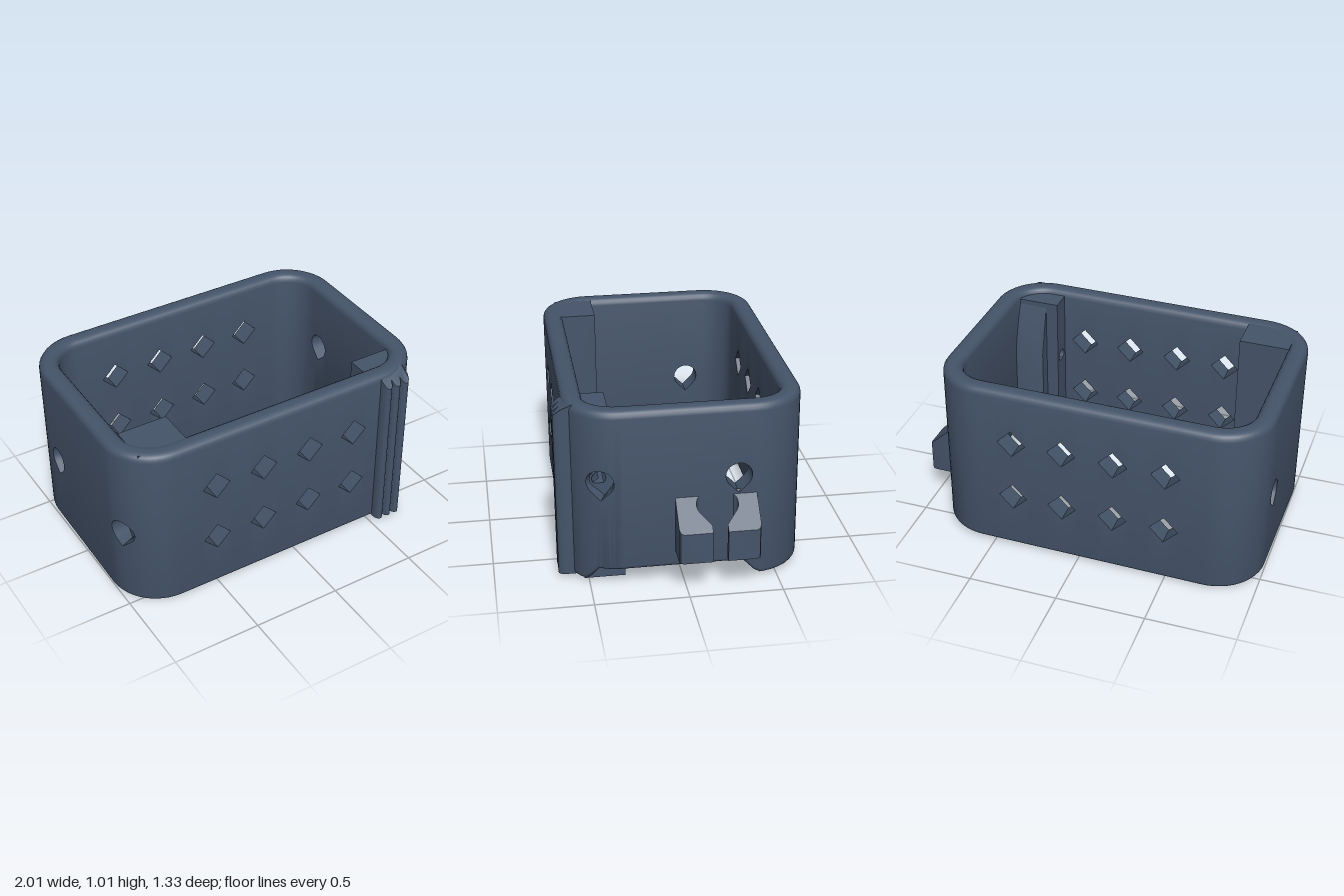
import * as THREE from 'three';
import { toCreasedNormals } from 'three/addons/utils/BufferGeometryUtils.js';

const slate = new THREE.MeshStandardMaterial({ color: 0x45546a });
slate.name = 'slate blue';

// Wall dimensions: a core rectangle swept by an outer and an inner corner radius
const X0 = -0.72, X1 = 0.57, Z0 = -0.38, Z1 = 0.32, RO = 0.28, RI = 0.17, H = 0.99;

// Hole outlines: lower and upper edge at horizontal distance d from the centre
const diamond = (u, y, r = 0.08) => ({ u, y, r, lo: d => y - Math.max(0, r - d), hi: d => y + Math.max(0, r - d) });
const tear = (u, y, r = 0.07) => {
  const arc = d => Math.sqrt(Math.max(0, r * r - d * d));
  return { u, y, r, hi: d => y + arc(d), lo: d => y - (d < r * Math.SQRT1_2 ? r * Math.SQRT2 - d : arc(d)) };
};
const diamondX = [-0.495, -0.205, 0.085, 0.37];
const vents = diamondX.flatMap(x => [diamond(x, 0.325), diamond(x, 0.675)]);
const holes = {
  front: vents, back: vents,
  right: [tear(0.43, 0.59), tear(-0.29, 0.595)],
  left: [tear(0.43, 0.45), tear(-0.29, 0.45)],
};
const sideOf = a => {
  const nx = Math.sin(a), nz = Math.cos(a);
  return Math.abs(nx) > Math.abs(nz) ? (nx > 0 ? 'right' : 'left') : (nz > 0 ? 'front' : 'back');
};

// Columns around the perimeter, counter-clockwise from the front left
function makeColumns() {
  const cols = [];
  const add = (a, x, z) => cols.push({ a, x, z });
  const xs = [X0, X1, ...diamondX.flatMap(x => [x - 0.08, x, x + 0.08])].sort((p, q) => p - q);
  const steps = Array.from({ length: 13 }, (_, i) => 0.07 * Math.cos(i * Math.PI / 12));
  const flatZ = [Z0, Z1, -0.32, ...steps.map(d => -0.29 + d)].sort((p, q) => p - q);
  const drilled = steps.map(d => Math.acos((0.43 + d - Z1) / RO));
  const corner = (from, x, z, extra = []) => {
    const even = Array.from({ length: 11 }, (_, i) => from + (i + 1) * Math.PI / 24);
    [...even, ...extra].sort((p, q) => p - q).forEach(a => add(a, x, z));
  };
  xs.forEach(x => add(0, x, Z1));
  corner(0, X1, Z1, [...drilled, Math.acos((0.45 - Z1) / RO)]);
  [...flatZ].reverse().forEach(z => add(Math.PI / 2, X1, z));
  corner(Math.PI / 2, X1, Z0);
  [...xs].reverse().forEach(x => add(Math.PI, x, Z0));
  corner(Math.PI, X0, Z0);
  flatZ.forEach(z => add(1.5 * Math.PI, X0, z));
  corner(1.5 * Math.PI, X0, Z1, drilled.map(a => 2 * Math.PI - a));
  return cols;
}

// Hollow rounded wall with filleted rims, drilled holes and a notch under the right side
function wallGeometry() {
  const pos = [];
  const quad = (a, b, c, d) => pos.push(...a, ...b, ...c, ...a, ...c, ...d);
  const at = (c, r, y) => [c.x + Math.sin(c.a) * r, y, c.z + Math.cos(c.a) * r];
  const floor = c => {
    const [x, , z] = at(c, RO, 0);
    return x < 0.6 ? 0 : 0.085 * Math.max(0, Math.min(1, (0.52 - z) / 0.07, (z + 0.4) / 0.08));
  };
  const arc = (r, y, f, from) => Array.from({ length: 5 }, (_, i) => {
    const t = from + i * Math.PI / 8;
    return [r + f * Math.cos(t), y + f * Math.sin(t)];
  });
  const F = 0.04, B = 0.025;
  const top = [...arc(RO - F, H - F, F, 0), ...arc(RI + F, H - F, F, Math.PI / 2)];
  const bottom = [...arc(RI + B, B, B, Math.PI), ...arc(RO - B, B, B, 1.5 * Math.PI)];
  const cols = makeColumns();
  cols.forEach((p, i) => {
    const q = cols[(i + 1) % cols.length];
    const side = sideOf((p.a + (q.a < p.a ? q.a + 2 * Math.PI : q.a)) / 2);
    const axis = side === 'front' || side === 'back' ? 0 : 2;
    const up = at(p, RO, 0)[axis], uq = at(q, RO, 0)[axis];
    const active = holes[side].filter(h => Math.abs((up + uq) / 2 - h.u) < h.r - 1e-6);
    const edges = (c, u) => [B + floor(c), ...active.flatMap(h => {
      const d = Math.abs(u - h.u);
      return [h.lo(d), h.hi(d)];
    }), H - F];
    const yp = edges(p, up), yq = edges(q, uq);
    for (let k = 0; k < yp.length - 1; k++) {
      const n = k + 1;
      if (k % 2 === 0) {
        quad(at(p, RO, yp[k]), at(q, RO, yq[k]), at(q, RO, yq[n]), at(p, RO, yp[n]));
        quad(at(p, RI, yp[n]), at(q, RI, yq[n]), at(q, RI, yq[k]), at(p, RI, yp[k]));
      } else {
        quad(at(p, RO, yp[k]), at(q, RO, yq[k]), at(q, RI, yq[k]), at(p, RI, yp[k]));
        quad(at(p, RI, yp[n]), at(q, RI, yq[n]), at(q, RO, yq[n]), at(p, RO, yp[n]));
      }
    }
    const band = (prof, lp, lq) => {
      for (let k = 0; k < prof.length - 1; k++) {
        const [r0, y0] = prof[k], [r1, y1] = prof[k + 1];
        quad(at(p, r0, y0 + lp), at(q, r0, y0 + lq), at(q, r1, y1 + lq), at(p, r1, y1 + lp));
      }
    };
    band(top, 0, 0);
    band(bottom, floor(p), floor(q));
  });
  const g = new THREE.BufferGeometry();
  g.setAttribute('position', new THREE.Float32BufferAttribute(pos, 3));
  return toCreasedNormals(g, 0.6);
}

// Upright prism from an x-z outline; topAt(x, z) slopes its upper face
function prism(points, y0, topAt) {
  const shape = new THREE.Shape(points.map(([x, z]) => new THREE.Vector2(x, z)));
  const g = new THREE.ExtrudeGeometry(shape, { depth: 1, bevelEnabled: false });
  g.rotateX(Math.PI / 2);
  const v = g.attributes.position;
  for (let i = 0; i < v.count; i++) v.setY(i, v.getY(i) > -0.5 ? topAt(v.getX(i), v.getZ(i)) : y0);
  return toCreasedNormals(g, 0.6);
}

// Post with a small teardrop bore running along x
function boredPost(x0, x1, z0, z1, y0, y1, hy) {
  const s = new THREE.Shape([[-z1, y0], [-z0, y0], [-z0, y1], [-z1, y1]].map(p => new THREE.Vector2(...p)));
  const r = 0.037, bore = new THREE.Path();
  bore.moveTo(-0.43, hy - r * Math.SQRT2);
  bore.absarc(-0.43, hy, r, -Math.PI / 4, 1.25 * Math.PI, false);
  bore.closePath();
  s.holes.push(bore);
  const g = new THREE.ExtrudeGeometry(s, { depth: x1 - x0, bevelEnabled: false, curveSegments: 16 });
  g.rotateY(Math.PI / 2).translate(x0, 0, 0);
  return toCreasedNormals(g, 0.6);
}

export function createModel() {
  const model = new THREE.Group();
  model.name = 'clipBox';
  const tilted = new THREE.Group();
  tilted.name = 'body';
  tilted.position.y = 0.011;
  tilted.rotation.set(0.006, -0.008, 0.008);
  model.add(tilted);
  const add = (name, g) => {
    const m = new THREE.Mesh(g, slate);
    m.name = name;
    tilted.add(m);
  };

  add('wall', wallGeometry());
  add('leftScrewPost', boredPost(-0.9, -0.62, 0.3, 0.52, 0.005, 0.985, 0.45));
  add('rightScrewPost', boredPost(0.5, 0.76, 0.37, 0.52, 0.005, 0.96, 0.59));

  // Sloped guide beside the right post
  add('postGuide', prism([[0.57, 0.3], [0.76, 0.3], [0.76, 0.375], [0.57, 0.375]], 0.005,
    (x, z) => 0.65 + (z - 0.3) * 4));

  // Ribbed grip on the front, chamfered at the top
  const grip = [[0.535, 0.55]];
  for (let rib = 0; rib < 3; rib++) {
    for (let k = 0; k <= 8; k++) {
      const t = k / 8;
      grip.push([0.535 + (rib + t * 0.999) * 0.055, 0.615 + 0.037 * Math.sqrt(Math.sin(Math.PI * t) + 1e-9)]);
    }
  }
  grip.push([0.7, 0.55]);
  add('ribbedGrip', prism(grip, 0.003, (x, z) => 0.985 - Math.max(0, z - 0.585) * 0.9));

  // Pair of mirrored clip hooks with a round seat between them
  const hook = [[0.83, 0.215], [0.975, 0.215], [0.993, 0.208], [1, 0.19], [1, 0.04], [0.97, 0.04]];
  for (let k = 0; k <= 8; k++) {
    const t = Math.PI * (0.25 + k * 0.094);
    hook.push([0.885 + 0.042 * Math.cos(t), 0.068 + 0.042 * Math.sin(t)]);
  }
  hook.push([0.83, 0.068]);
  for (const [name, m] of [['frontClipHook', 1], ['backClipHook', -1]]) {
    add(name, prism(hook.map(([x, d]) => [x, -0.17 + m * d]), 0.18, x => 0.49 - (x - 0.85) * 0.93));
  }
  return model;
}
